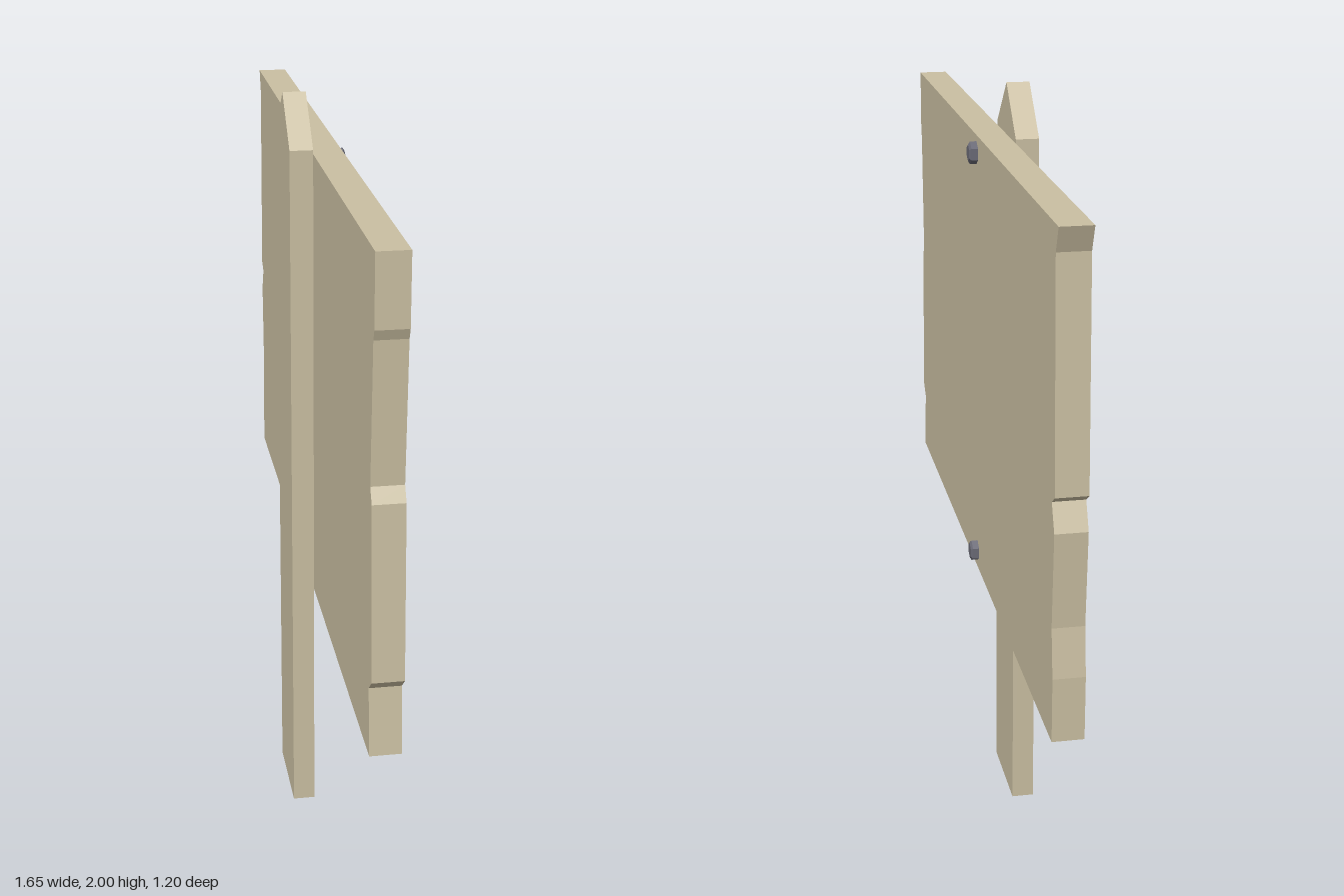
import * as THREE from 'three';

export function createModel() {
  const wood = new THREE.MeshStandardMaterial({ name: 'wood', color: 0xcabfa2, flatShading: true });
  const metal = new THREE.MeshStandardMaterial({ name: 'metal', color: 0x6a6a76, flatShading: true });

  const sign = new THREE.Group();
  sign.name = 'signpost';
  sign.rotation.y = THREE.MathUtils.degToRad(-35.3);

  // Flat plank cut from an outline, spanning zBack..zFront
  const addPlank = (name, outline, zBack, zFront) => {
    const shape = new THREE.Shape(outline.map(([x, y]) => new THREE.Vector2(x, y)));
    const geometry = new THREE.ExtrudeGeometry(shape, { depth: zFront - zBack, bevelEnabled: false });
    geometry.translate(0, 0, zBack);
    const mesh = new THREE.Mesh(geometry, wood);
    mesh.name = name;
    sign.add(mesh);
  };

  // Post with a pointed top
  const postX = -0.01, half = 0.125;
  addPlank('post', [
    [postX - half, 0], [postX + half, 0], [postX + half, 1.88],
    [postX, 2], [postX - half, 1.88],
  ], 0.038, 0.097);

  // Board with chipped ends: right end going up, then left end going down
  addPlank('board', [
    [0.97, 0.67], [0.953, 0.84], [0.985, 0.87], [0.964, 1.3], [0.944, 1.335],
    [0.96, 1.675], [0.97, 1.7], [0.97, 1.87],
    [-0.98, 1.87], [-0.956, 1.81], [-0.979, 1.27], [-0.95, 1.25],
    [-0.979, 1.185], [-0.965, 0.95], [-0.981, 0.83], [-0.981, 0.67],
  ], -0.039, 0.038);

  // Hexagonal bolts on the back, with a slightly chamfered head
  for (const [name, y] of [['upperBolt', 1.825], ['lowerBolt', 0.72]]) {
    const bolt = new THREE.Group();
    bolt.name = name;
    const base = new THREE.Mesh(new THREE.CylinderGeometry(0.029, 0.029, 0.018, 6), metal);
    base.name = 'boltHead';
    const cap = new THREE.Mesh(new THREE.CylinderGeometry(0.021, 0.029, 0.005, 6), metal);
    cap.name = 'boltCap';
    cap.position.y = 0.0115;
    bolt.add(base, cap);
    bolt.rotation.x = -Math.PI / 2;
    bolt.position.set(postX, y, -0.047);
    sign.add(bolt);
  }

  const model = new THREE.Group();
  model.name = 'woodenSign';
  model.add(sign);
  return model;
}
